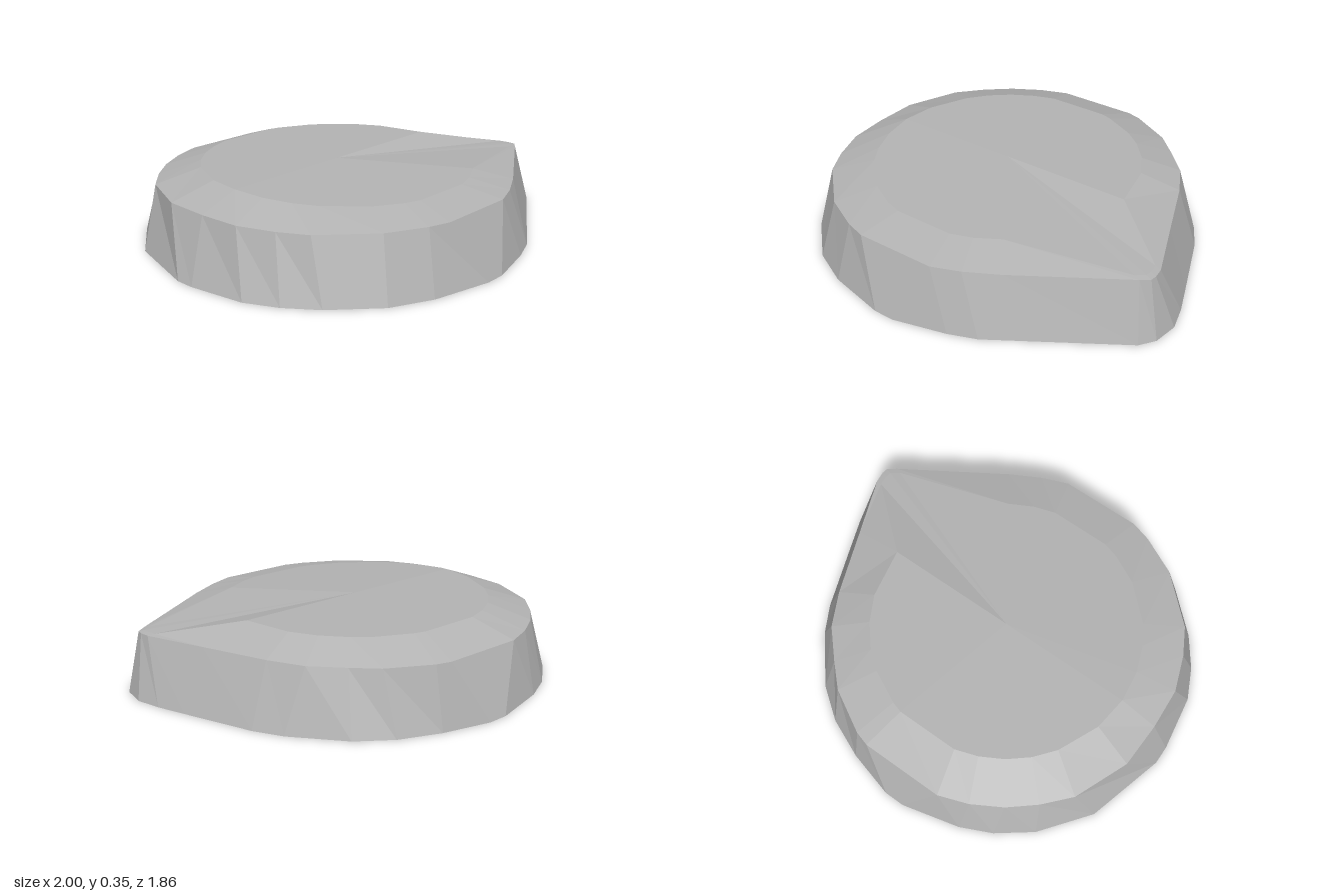
import * as THREE from 'three';

// Matching outline stations: base x, base z, rim x, rim z
const OUTLINE = [
  [-0.12, -0.93, -0.27, -0.83], [-0.02, -0.93, 0.13, -0.83], [0.21, -0.87, 0.2, -0.81],
  [0.4, -0.79, 0.4, -0.7], [0.55, -0.68, 0.5, -0.6], [0.73, -0.46, 0.62, -0.47],
  [0.8, -0.33, 0.7, -0.31], [0.92, 0, 0.815, 0], [0.97, 0.14, 0.92, 0.28],
  [1, 0.26, 0.925, 0.33], [0.98, 0.38, 0.92, 0.36], [0.93, 0.45, 0.88, 0.39],
  [0.36, 0.81, 0.4, 0.69], [0.23, 0.86, 0.25, 0.77], [-0.02, 0.925, 0.12, 0.82],
  [-0.12, 0.925, -0.27, 0.82], [-0.41, 0.86, -0.37, 0.79], [-0.6, 0.77, -0.55, 0.7],
  [-0.79, 0.59, -0.76, 0.5], [-0.89, 0.45, -0.83, 0.37], [-0.96, 0.3, -0.89, 0.2],
  [-1, 0.03, -0.9, 0], [-1, -0.06, -0.89, -0.22], [-0.89, -0.44, -0.78, -0.48],
  [-0.71, -0.67, -0.67, -0.6], [-0.55, -0.79, -0.55, -0.7], [-0.4, -0.86, -0.41, -0.78],
];
const RIM_Y = 0.287, TOP_Y = 0.355, CX = -0.07, RADIUS = 0.645;

// Edge of the raised top: a circle, level behind and sloping forward, drawn out to the tip
function topPoint([, , x, z]) {
  if (x > 0.85) return [CX + (x - CX) * 0.97, RIM_Y + 0.004, z * 0.97];
  const d = Math.hypot(x - CX, z);
  const pz = (z / d) * RADIUS;
  return [CX + ((x - CX) / d) * RADIUS, TOP_Y - Math.max(0, pz) * 0.047, pz];
}

// Quads between two closed loops
function band(lower, upper) {
  const tris = [];
  lower.forEach((a, i) => {
    const j = (i + 1) % lower.length;
    tris.push(a, upper[i], upper[j], a, upper[j], lower[j]);
  });
  return tris;
}

// Fan closing a loop
function cap(loop, centre, up) {
  return loop.flatMap((a, i) => {
    const b = loop[(i + 1) % loop.length];
    return up ? [centre, b, a] : [centre, a, b];
  });
}

export function createModel() {
  const model = new THREE.Group();
  model.name = 'beveledPebble';
  const grey = new THREE.MeshStandardMaterial({ color: 0xb4b4b4, flatShading: true });
  grey.name = 'plain grey';

  const base = OUTLINE.map(([x, z]) => [x, 0, z]);
  const rim = OUTLINE.map(([, , x, z]) => [x, RIM_Y, z]);
  const top = OUTLINE.map(topPoint);

  const add = (name, tris) => {
    const geometry = new THREE.BufferGeometry();
    geometry.setAttribute('position', new THREE.Float32BufferAttribute(tris.flat(), 3));
    geometry.computeVertexNormals();
    const mesh = new THREE.Mesh(geometry, grey);
    mesh.name = name;
    model.add(mesh);
  };
  add('slopedSide', band(base, rim));
  add('bevel', band(rim, top));
  add('topFace', cap(top, [CX, TOP_Y, 0], true));
  add('underside', cap(base, [0, 0, 0], false));
  return model;
}
